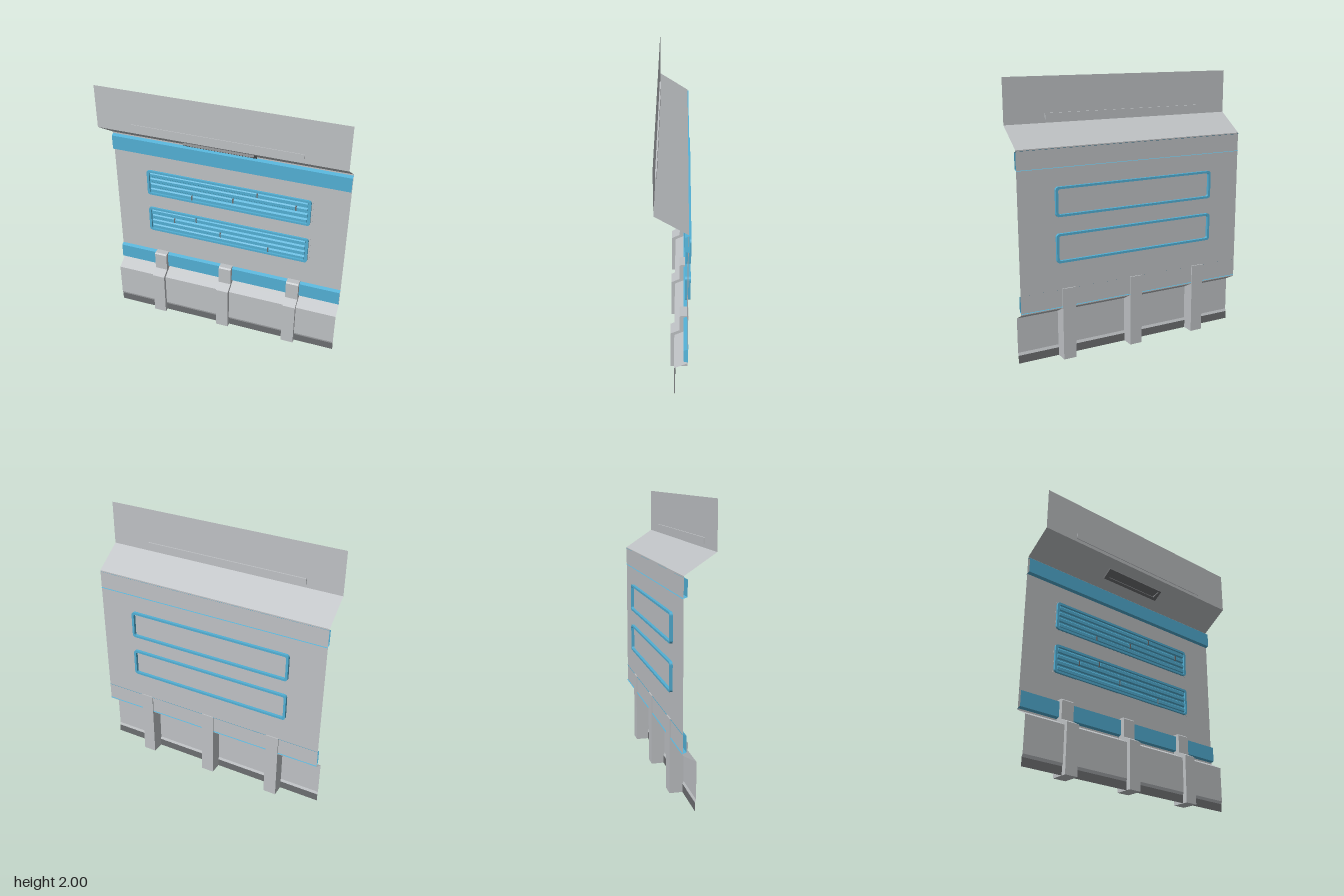
import * as THREE from 'three';

const mat = (name, color, side = THREE.FrontSide) => {
  const m = new THREE.MeshStandardMaterial({ color, side });
  m.name = name;
  return m;
};

export function createModel() {
  const group = new THREE.Group();
  const grey = mat('lightGrey', 0xbec1c4, THREE.DoubleSide);
  const blue = mat('blue', 0x52afd4, THREE.DoubleSide);
  const dark = mat('darkGrey', 0x6c6e70, THREE.DoubleSide);
  const W = 0.9;

  const add = (name, geo, material, parent = group) => {
    const m = new THREE.Mesh(geo, material);
    m.name = name;
    parent.add(m);
    return m;
  };

  // open sheet: a [z, y] profile swept across the full width, listed bottom to top
  const sheet = (name, profile, material) => {
    const pos = [];
    for (let i = 0; i < profile.length - 1; i++) {
      const [z0, y0] = profile[i], [z1, y1] = profile[i + 1];
      pos.push(-W, y0, z0, W, y0, z0, W, y1, z1, -W, y0, z0, W, y1, z1, -W, y1, z1);
    }
    const g = new THREE.BufferGeometry();
    g.setAttribute('position', new THREE.Float32BufferAttribute(pos, 3));
    g.computeVertexNormals();
    return add(name, g, material);
  };

  // solid bar: a closed [z, y] profile swept from x0 to x1
  const bar = (profile, x0, x1) => {
    const shape = new THREE.Shape(profile.map(([z, y]) => new THREE.Vector2(z, y)));
    return new THREE.ExtrudeGeometry(shape, { depth: x1 - x0, bevelEnabled: false })
      .rotateY(-Math.PI / 2).translate(x1, 0, 0);
  };

  const box = (name, x0, x1, y0, y1, z0, z1, material, parent) =>
    add(name, new THREE.BoxGeometry(x1 - x0, y1 - y0, z1 - z0)
      .translate((x0 + x1) / 2, (y0 + y1) / 2, (z0 + z1) / 2), material, parent);

  const roundRect = (P, x0, x1, y0, y1, r) => {
    const p = new P();
    p.absarc(x1 - r, y1 - r, r, 0, Math.PI / 2);
    p.absarc(x0 + r, y1 - r, r, Math.PI / 2, Math.PI);
    p.absarc(x0 + r, y0 + r, r, Math.PI, Math.PI * 1.5);
    p.absarc(x1 - r, y0 + r, r, Math.PI * 1.5, Math.PI * 2);
    p.closePath();
    return p;
  };

  // wall sheets
  sheet('wall', [[-0.095, 0.39], [-0.095, 1.54]], grey);
  sheet('slopedCeiling', [[-0.095, 1.54], [0.115, 1.68]], grey);
  sheet('upperPanel', [[0.115, 1.68], [0.115, 2]], grey);
  sheet('lowerPanel', [[-0.012, 0.06], [-0.004, 0.08], [-0.004, 0.34], [-0.095, 0.39]], grey);
  sheet('kickStrip', [[-0.012, 0], [-0.012, 0.06]], dark);

  // protruding colour bands with bevelled edges
  [['lowerBand', 0.4], ['upperBand', 1.4]].forEach(([name, y]) =>
    sheet(name, [[-0.102, y], [-0.07, y + 0.01], [-0.07, y + 0.12], [-0.102, y + 0.133]], blue));

  // light bar set through the upper panel
  box('lightBar', -0.64, 0.6, 1.705, 1.747, 0.105, 0.12, grey);

  // ribs
  const ribProfile = [[-0.104, 0], [0.024, 0], [0.024, 0.355], [-0.04, 0.39],
    [-0.04, 0.525], [-0.05, 0.535], [-0.104, 0.535]];
  [-0.545, -0.003, 0.54].forEach((x) => add('rib', bar(ribProfile, x - 0.049, x + 0.049), grey));

  // louvred vents
  const vent = (y0, splits) => {
    const v = new THREE.Group();
    v.name = 'vent';
    group.add(v);
    const frame = roundRect(THREE.Shape, -0.64, 0.63, y0, y0 + 0.21, 0.022);
    frame.holes.push(roundRect(THREE.Path, -0.622, 0.612, y0 + 0.016, y0 + 0.194, 0.014));
    add('ventFrame', new THREE.ExtrudeGeometry(frame, { depth: 0.038, bevelEnabled: false, curveSegments: 4 })
      .translate(0, 0, -0.116), blue, v);
    box('ventBacking', -0.625, 0.615, y0 + 0.014, y0 + 0.196, -0.094, -0.0925, blue, v);
    box('ventSurround', -0.645, 0.643, y0 - 0.002, y0 + 0.212, -0.0945, -0.0935, grey, v);
    splits.forEach((x, row) => {
      const y = y0 + 0.15 - row * 0.0445;
      // each louvre is two lengths with a small step at the split
      [[-0.615, x - 0.005, 0], [x + 0.005, 0.605, 0.004]].forEach(([a, b, step]) => {
        const f = -0.084 + step;
        add('louvre', bar([[-0.093, y + 0.002], [f, y + 0.009], [f, y + 0.03], [-0.093, y + 0.039]], a, b), blue, v);
      });
      box('louvreDivider', x - 0.005, x + 0.005, y + 0.002, y + 0.039, -0.093, -0.082, dark, v);
    });
  };
  vent(1.06, [0.23, 0.52, 0.045, -0.28]);
  vent(0.73, [-0.25, -0.43, -0.055, 0.325]);

  // recessed lamp under the sloped ceiling
  const lamp = new THREE.Group();
  lamp.name = 'ceilingLamp';
  const lampShape = new THREE.Shape();
  lampShape.moveTo(-0.26, -0.044).lineTo(0.26, -0.044).lineTo(0.26, 0.044).lineTo(-0.26, 0.044);
  const hole = new THREE.Path();
  hole.moveTo(-0.225, -0.022).lineTo(-0.24, 0.03).lineTo(0.24, 0.03).lineTo(0.225, -0.022);
  lampShape.holes.push(hole);
  add('lampFrame', new THREE.ExtrudeGeometry(lampShape, { depth: 0.016, bevelEnabled: false }), dark, lamp);
  add('lampPlate', new THREE.PlaneGeometry(0.5, 0.07).translate(0, 0, 0.005), dark, lamp);
  lamp.position.set(-0.02, 1.613, 0.015);
  lamp.rotation.x = Math.atan2(0.21, 0.14);
  group.add(lamp);

  return group;
}
